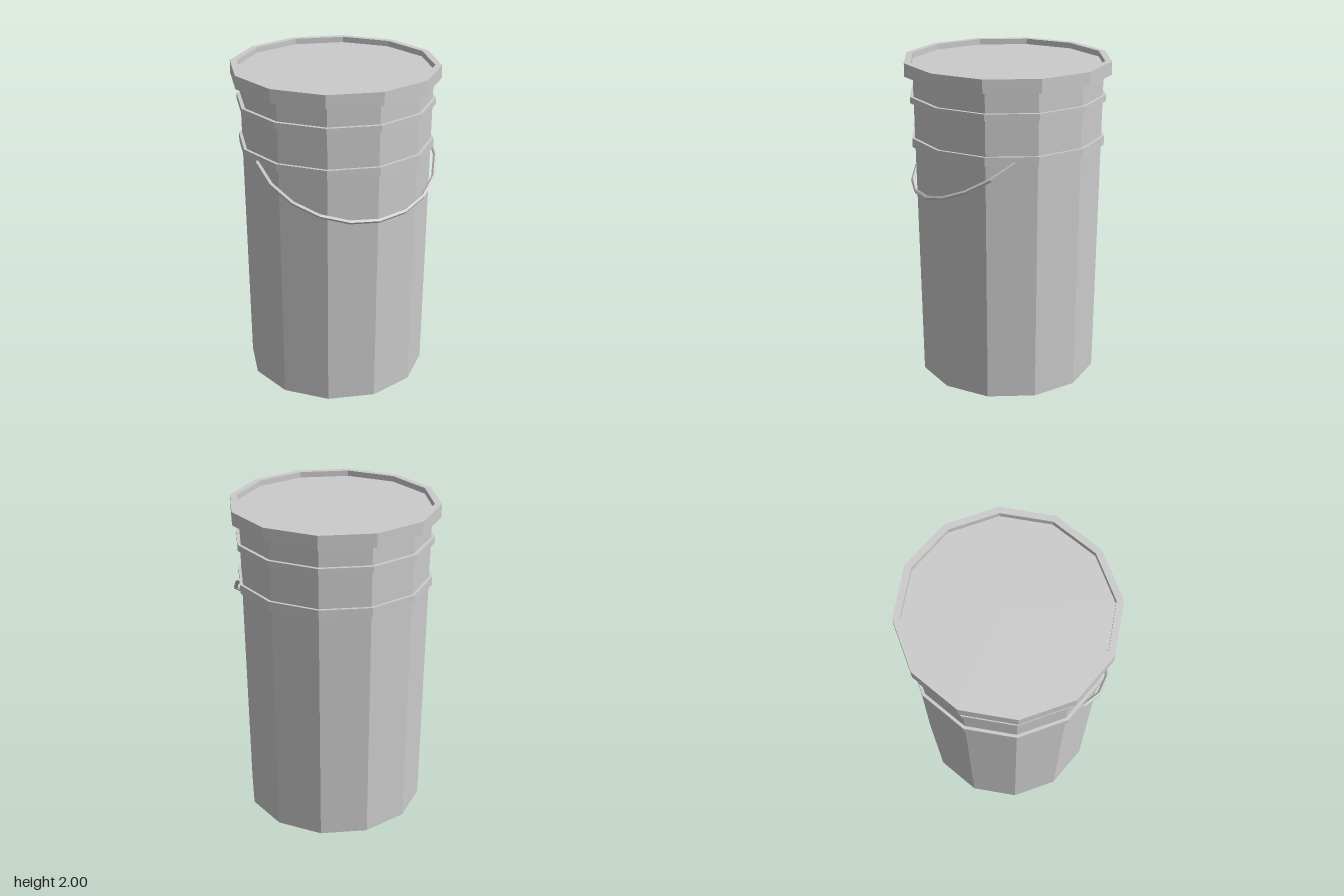
import * as THREE from 'three';

const SIDES = 12;

export function createModel() {
  const group = new THREE.Group();
  const material = new THREE.MeshStandardMaterial({
    color: 0xcccccc, flatShading: true, side: THREE.DoubleSide,
  });

  const add = (name, geometry, x = 0) => {
    const mesh = new THREE.Mesh(geometry, material);
    mesh.name = name;
    mesh.position.x = x;
    group.add(mesh);
    return mesh;
  };
  // Twelve-sided shell from [radius, height] pairs
  const turned = (points) =>
    new THREE.LatheGeometry(points.map(([r, y]) => new THREE.Vector2(r, y)), SIDES);

  // Tapered wall, open at the bottom
  add('body', turned([[0.561, 0], [0.584, 1.965]]), 0.004);

  // Two raised bands around the upper wall
  const bands = [
    ['upperBand', 1.76, 1.797, 0.603],
    ['lowerBand', 1.49, 1.545, 0.597],
  ];
  for (const [name, bottom, top, r] of bands) {
    add(name, turned([[0.57, bottom], [r, bottom], [r, top], [0.57, top]]), 0.003);
  }

  // Lid: open skirt, flat rim and recessed panel
  add('lid', turned([[0.633, 1.92], [0.633, 2], [0.592, 2], [0.592, 1.965], [0, 1.965]]));

  // Wire handle: half an ellipse hanging forward and down
  const arc = new THREE.Curve();
  arc.getPoint = (t, target = new THREE.Vector3()) => {
    const a = Math.PI * t;
    const drop = Math.sin(a);
    return target.set(-0.572 * Math.cos(a), 1.51 - 0.301 * drop, 0.132 + 0.452 * drop);
  };
  arc.getPointAt = arc.getPoint; // even steps in angle
  add('handle', new THREE.TubeGeometry(arc, 10, 0.013, 5, false), 0.006);

  return group;
}
